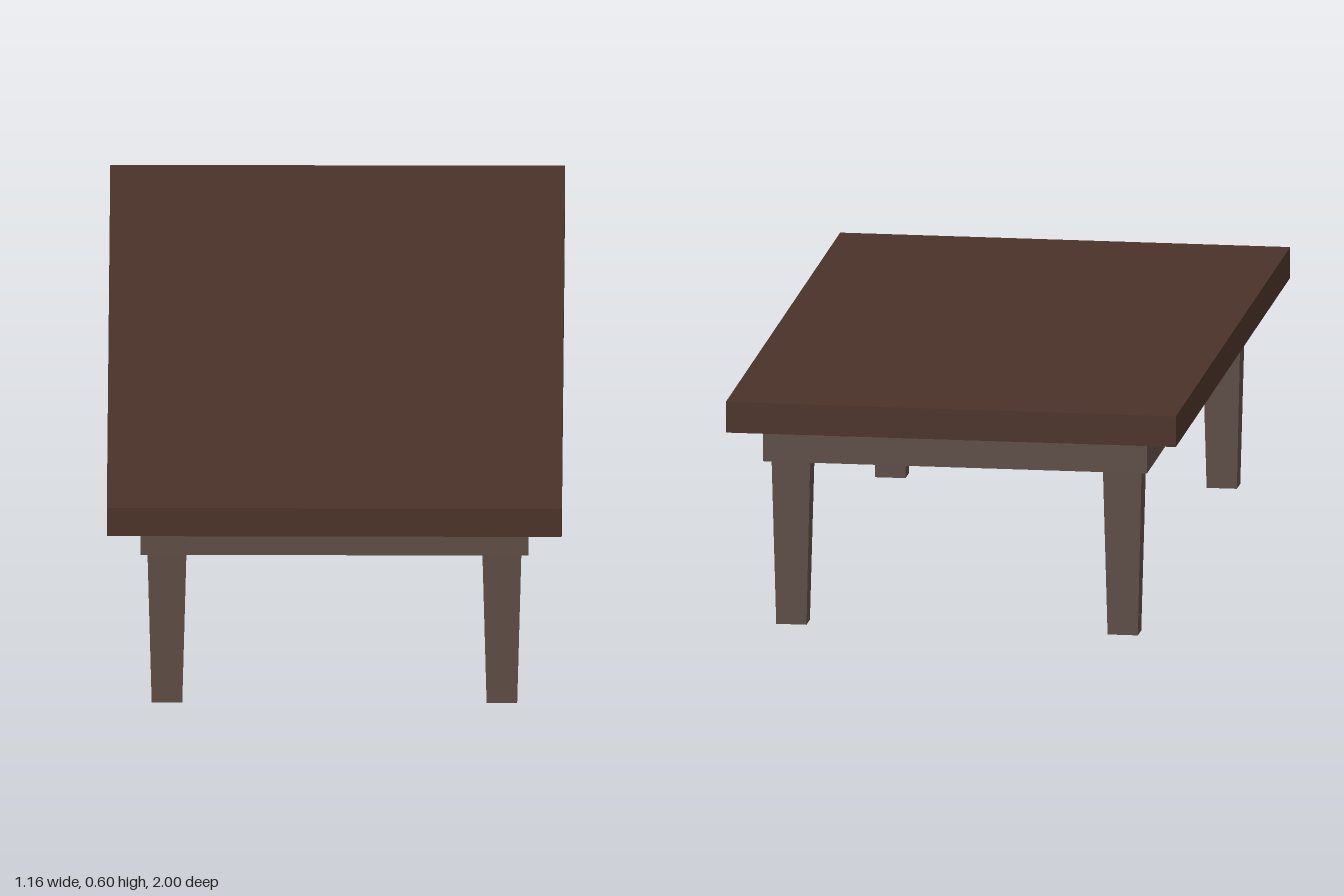
import * as THREE from 'three';

const TOP_Y = 0.6, UNDER_Y = 0.52, RAIL_Y = 0.432;

export function createModel() {
  const table = new THREE.Group();
  table.name = 'coffeeTable';
  const darkWood = new THREE.MeshStandardMaterial({ color: 0x4a3228 });
  const lightWood = new THREE.MeshStandardMaterial({ color: 0x5d4c44 });

  const add = (name, geometry, material, x, y, z) => {
    const mesh = new THREE.Mesh(geometry, material);
    mesh.name = name;
    mesh.position.set(x, y, z);
    table.add(mesh);
  };

  // Tabletop slab
  add('tabletop', new THREE.BoxGeometry(1.16, TOP_Y - UNDER_Y, 2), darkWood, 0, (TOP_Y + UNDER_Y) / 2, 0);

  // Apron: thin rails forming an open frame under the top
  const halfX = 0.495, halfZ = 0.928, thick = 0.02;
  const railH = UNDER_Y - RAIL_Y, railY = (UNDER_Y + RAIL_Y) / 2;
  for (const s of [1, -1]) {
    add(s > 0 ? 'frontRail' : 'backRail', new THREE.BoxGeometry(2 * halfX, railH, thick),
      lightWood, 0, railY, s * (halfZ - thick / 2));
    add(s > 0 ? 'leftRail' : 'rightRail', new THREE.BoxGeometry(thick, railH, 2 * (halfZ - thick)),
      lightWood, s * (halfX - thick / 2), railY, 0);
  }

  // Legs: rectangular posts tapering towards the floor
  const legGeometry = new THREE.BoxGeometry(0.104, UNDER_Y, 0.08);
  const p = legGeometry.attributes.position;
  for (let i = 0; i < p.count; i++) {
    if (p.getY(i) < 0) p.setXYZ(i, p.getX(i) * 0.75, p.getY(i), p.getZ(i) * 0.75);
  }
  legGeometry.computeVertexNormals();
  for (const sx of [1, -1]) for (const sz of [1, -1]) {
    add((sz > 0 ? 'front' : 'back') + (sx > 0 ? 'Left' : 'Right') + 'Leg',
      legGeometry, lightWood, sx * 0.427, UNDER_Y / 2, sz > 0 ? 0.87 : -0.861);
  }
  return table;
}
